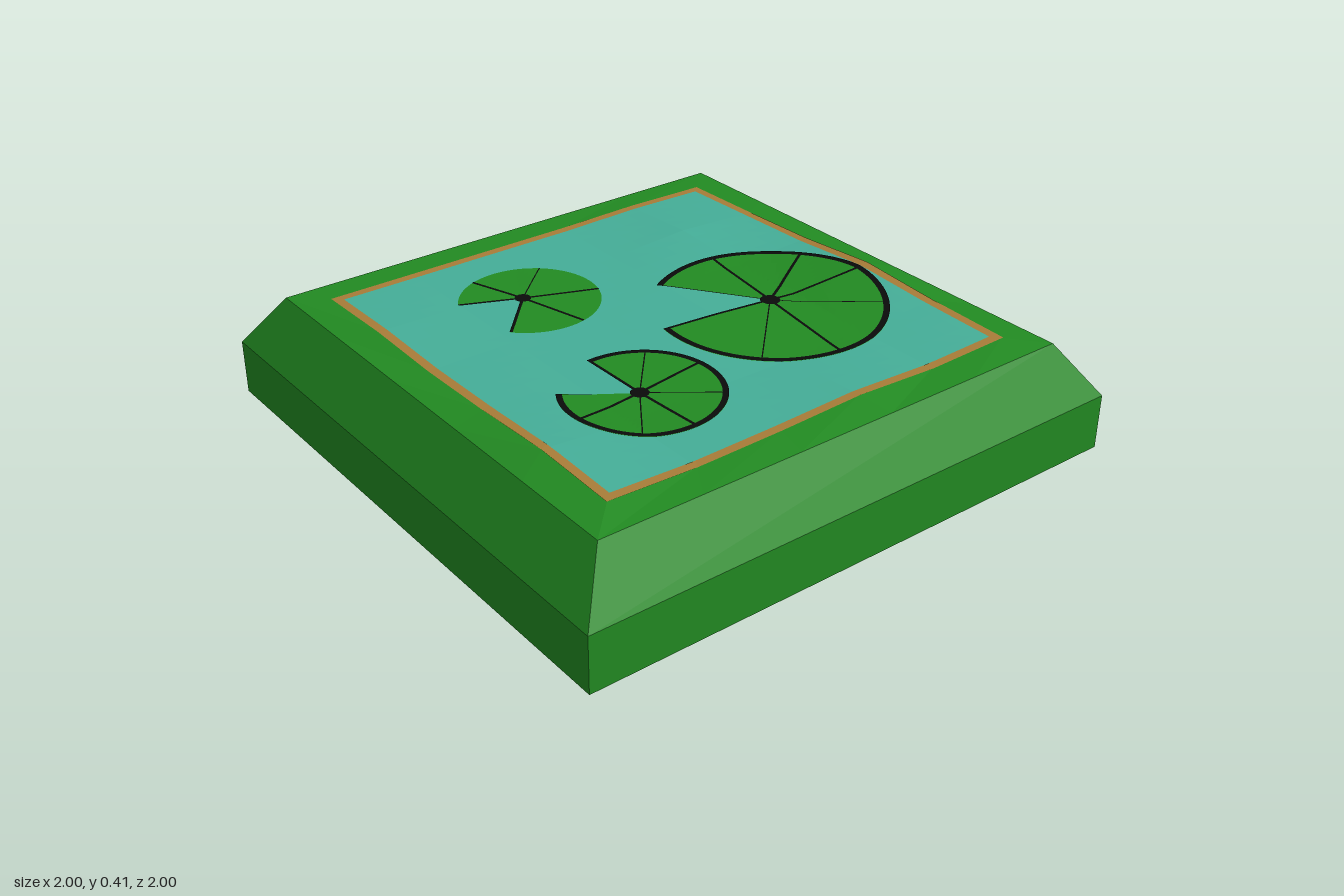
import * as THREE from 'three';

const mat = (name, color) => {
  const m = new THREE.MeshStandardMaterial({ color, flatShading: true });
  m.name = name;
  return m;
};

// Surface heights at the 6 x 6 corners of the pond (rows run back to front)
const CELL = 0.306, EDGE = 0.765;
const HEIGHTS = [
  [0.370, 0.375, 0.383, 0.405, 0.385, 0.375],
  [0.375, 0.390, 0.372, 0.369, 0.369, 0.369],
  [0.370, 0.371, 0.376, 0.374, 0.370, 0.384],
  [0.370, 0.372, 0.370, 0.372, 0.372, 0.374],
  [0.370, 0.370, 0.370, 0.369, 0.368, 0.370],
  [0.370, 0.378, 0.371, 0.378, 0.393, 0.382],
];

function height(x, z) {
  const gx = THREE.MathUtils.clamp((x + EDGE) / CELL, 0, 5);
  const gz = THREE.MathUtils.clamp((z + EDGE) / CELL, 0, 5);
  const i = Math.min(4, Math.floor(gx)), j = Math.min(4, Math.floor(gz));
  const a = THREE.MathUtils.lerp(HEIGHTS[j][i], HEIGHTS[j][i + 1], gx - i);
  const b = THREE.MathUtils.lerp(HEIGHTS[j + 1][i], HEIGHTS[j + 1][i + 1], gx - i);
  return THREE.MathUtils.lerp(a, b, gz - j);
}

// Upward-facing sheet: f(u, v) gives [x, z] and optionally y; otherwise it drapes on the pond
function sheet(name, material, nu, nv, lift, f) {
  const pos = [], index = [];
  for (let j = 0; j <= nv; j++) {
    for (let i = 0; i <= nu; i++) {
      const [x, z, y] = f(i / nu, j / nv);
      pos.push(x, y ?? height(x, z) + lift, z);
      if (i < nu && j < nv) {
        const a = j * (nu + 1) + i, c = a + nu + 1;
        index.push(a, c, a + 1, a + 1, c, c + 1);
      }
    }
  }
  const g = new THREE.BufferGeometry();
  g.setAttribute('position', new THREE.Float32BufferAttribute(pos, 3));
  g.setIndex(index);
  g.computeVertexNormals();
  const mesh = new THREE.Mesh(g, material);
  mesh.name = name;
  return mesh;
}

function lilyPad(name, leaf, ink, p) {
  const group = new THREE.Group();
  group.name = name;
  const [hx, hz] = p.hub, [cx, cz] = p.centre;
  // Distance from the hub to the pad's circular edge along an angle
  const reach = (t) => {
    const dx = hx - cx, dz = hz - cz;
    const b = dx * Math.cos(t) + dz * Math.sin(t);
    return -b + Math.sqrt(b * b - dx * dx - dz * dz + p.radius ** 2);
  };
  const polar = (t, r) => [hx + Math.cos(t) * r, hz + Math.sin(t) * r];
  const start = THREE.MathUtils.degToRad(p.notch[1]);
  const end = THREE.MathUtils.degToRad(p.notch[0] + 360);
  const angle = (u) => THREE.MathUtils.lerp(end, start, u);

  group.add(sheet('leaf', leaf, 72, 16, 0.002, (u, v) => polar(angle(u), reach(angle(u)) * v)));
  if (p.rim) {
    group.add(sheet('leafRim', ink, 72, 1, 0.0035,
      (u, v) => polar(angle(u), reach(angle(u)) - p.rim * (1 - v))));
  }
  // Veins run from the hub to points on the edge
  for (const [x, z, width] of p.veins) {
    const t = Math.atan2(z - hz, x - hx), len = reach(t);
    group.add(sheet('vein', ink, 16, 1, 0.0035, (u, v) => {
      const s = (v - 0.5) * width;
      return [hx + Math.cos(t) * len * u - Math.sin(t) * s, hz + Math.sin(t) * len * u + Math.cos(t) * s];
    }));
  }
  group.add(sheet('hub', ink, 12, 1, 0.004, (u, v) => polar(-u * Math.PI * 2, p.hubSize * v)));
  return group;
}

export function createModel() {
  const model = new THREE.Group();
  model.name = 'lilyPond';
  const grass = mat('grass green', 0x228b22);
  const water = mat('water teal', 0x45ae98);
  const bank = mat('bank brown', 0xa87c38);
  const ink = mat('line black', 0x0a0a0a);

  // Square block with a sloped upper half
  const block = (name, top, bottom, y0, y1, open) => {
    const k = Math.SQRT2;
    const g = new THREE.CylinderGeometry(top * k, bottom * k, y1 - y0, 4, 1, open);
    g.rotateY(Math.PI / 4).translate(0, (y0 + y1) / 2, 0);
    const m = new THREE.Mesh(g, grass);
    m.name = name;
    model.add(m);
  };
  block('base', 1, 1, 0, 0.19, false);
  block('slopedSides', 0.878, 1, 0.19, 0.366, true);

  // Grass lip and bank strip on each of the four sides
  for (let k = 0; k < 4; k++) {
    const c = Math.round(Math.cos(k * Math.PI / 2)), s = Math.round(Math.sin(k * Math.PI / 2));
    const turn = (x, z) => [x * c + z * s, -x * s + z * c];
    model.add(sheet('grassLip', grass, 5, 1, 0, (u, v) => {
      const r = v ? 0.878 : EDGE;
      const [x, z] = turn((u * 2 - 1) * r, r);
      return [x, z, v ? 0.366 : height(x, z)];
    }));
    model.add(sheet('bankStrip', bank, 25, 1, 0.0015, (u, v) => {
      const r = THREE.MathUtils.lerp(0.738, 0.769, v);
      return turn((u * 2 - 1) * r, r);
    }));
  }

  // Gently rippled water
  model.add(sheet('water', water, 25, 25, 0, (u, v) => [(u * 2 - 1) * EDGE, (v * 2 - 1) * EDGE]));

  // Lily pads
  const W = 0.01, T = 0.004;
  model.add(lilyPad('largeLilyPad', grass, ink, {
    hub: [0.12, -0.365], centre: [0.14, -0.345], radius: 0.39, notch: [97, 143], rim: 0.021, hubSize: 0.034,
    veins: [[-0.24, -0.41, W], [-0.07, -0.67, W], [0.16, -0.73, W], [0.37, -0.63, T],
      [0.51, -0.31, W], [0.4, -0.09, T], [0.075, 0.04, W], [-0.19, -0.13, T]],
  }));
  model.add(lilyPad('smallLilyPad', grass, ink, {
    hub: [-0.385, 0.27], centre: [-0.365, 0.255], radius: 0.235, notch: [43, 115], rim: 0, hubSize: 0.028,
    veins: [[-0.13, 0.2, W], [-0.29, 0.035, W], [-0.54, 0.1, T], [-0.59, 0.34, W],
      [-0.47, 0.46, W], [-0.21, 0.43, W]],
  }));
  model.add(lilyPad('mediumLilyPad', grass, ink, {
    hub: [0.345, 0.34], centre: [0.345, 0.33], radius: 0.257, notch: [125, 179], rim: 0.019, hubSize: 0.03,
    veins: [[0.31, 0.08, W], [0.5, 0.14, T], [0.59, 0.325, W], [0.53, 0.47, T],
      [0.37, 0.58, W], [0.09, 0.345, W], [0.16, 0.18, T]],
  }));
  return model;
}
